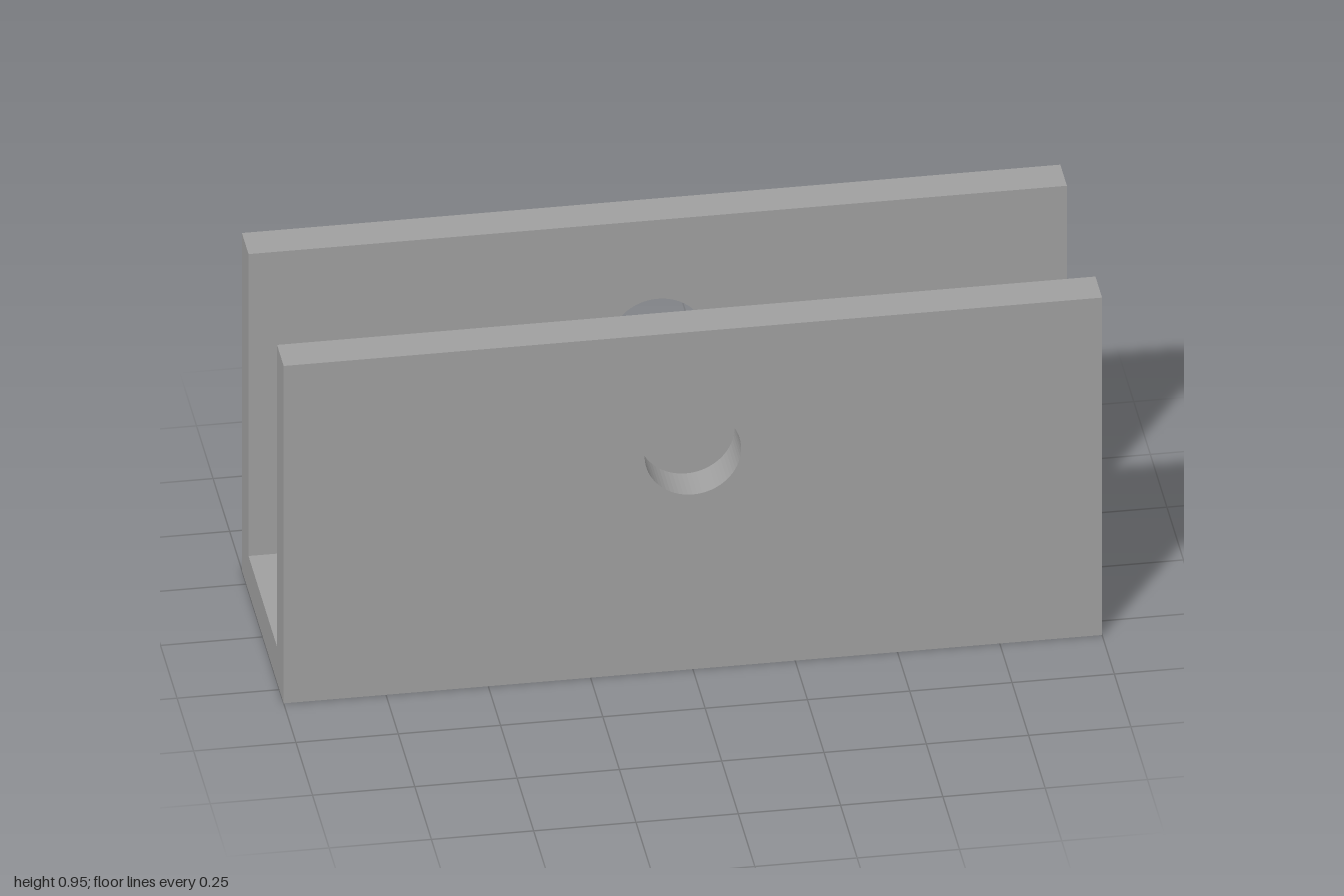
import * as THREE from 'three';

const LENGTH = 2, HEIGHT = 0.95, DEPTH = 0.63, THICK = 0.1;
const HOLE_Y = 0.61, HOLE_R = 0.118;

export function createModel() {
  const group = new THREE.Group();
  group.name = 'channelBracket';
  const metal = new THREE.MeshStandardMaterial({ color: 0xa0a0a0 });
  metal.name = 'plain grey';

  // Side plate outline with a round pin hole
  const outline = new THREE.Shape([
    new THREE.Vector2(-LENGTH / 2, 0),
    new THREE.Vector2(LENGTH / 2, 0),
    new THREE.Vector2(LENGTH / 2, HEIGHT),
    new THREE.Vector2(-LENGTH / 2, HEIGHT),
  ]);
  const hole = new THREE.Path();
  hole.absarc(0, HOLE_Y, HOLE_R, 0, Math.PI * 2, true);
  outline.holes.push(hole);
  const plate = new THREE.ExtrudeGeometry(outline, {
    depth: THICK, bevelEnabled: false, curveSegments: 32,
  });

  // Front and back plates
  for (const [name, z] of [['frontPlate', DEPTH / 2 - THICK], ['backPlate', -DEPTH / 2]]) {
    const mesh = new THREE.Mesh(plate, metal);
    mesh.name = name;
    mesh.position.z = z;
    group.add(mesh);
  }

  // Floor joining the plates
  const floor = new THREE.Mesh(new THREE.BoxGeometry(LENGTH, THICK, DEPTH - 2 * THICK), metal);
  floor.name = 'floor';
  floor.position.y = THICK / 2;
  group.add(floor);

  return group;
}
